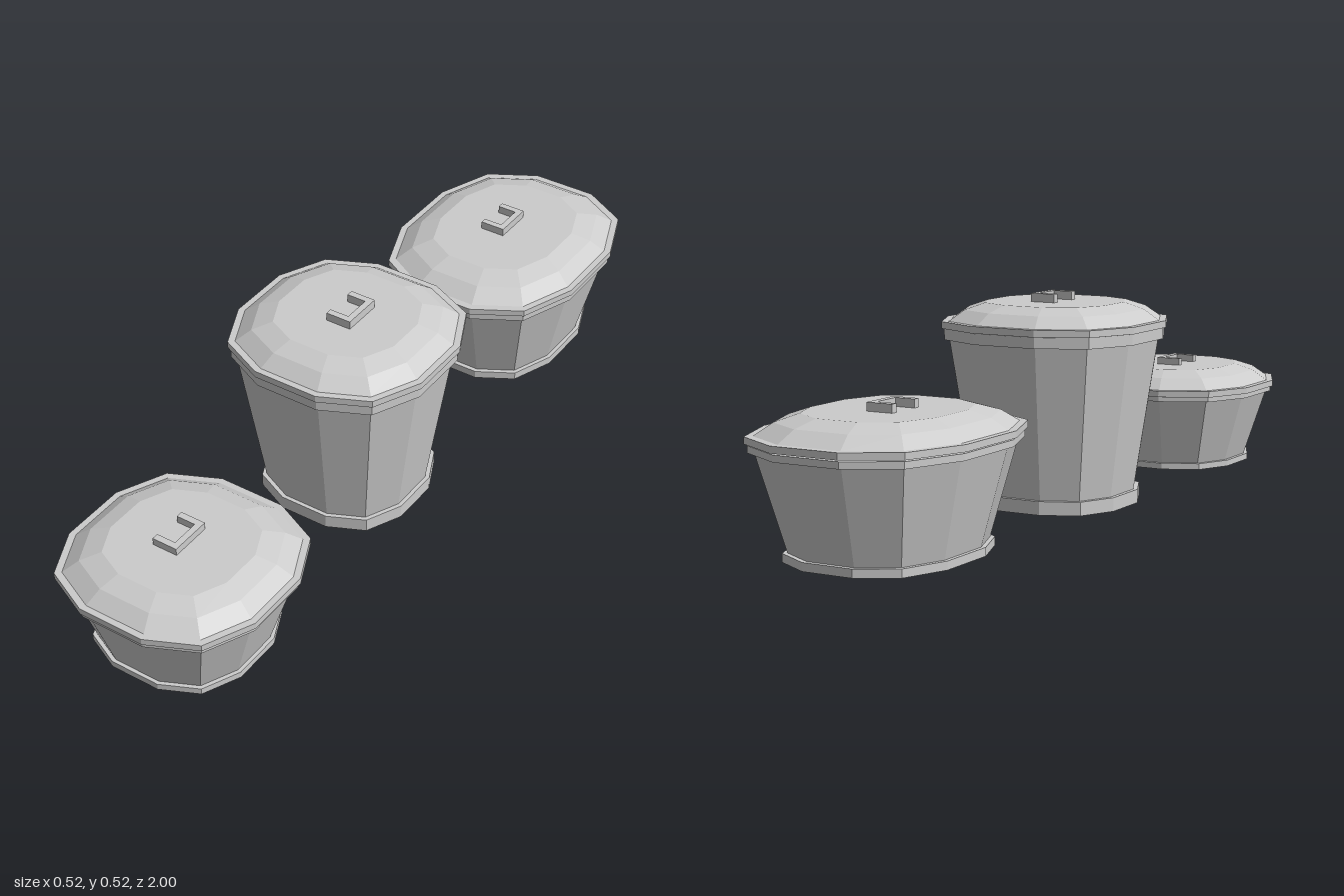
import * as THREE from 'three';

const grey = new THREE.MeshStandardMaterial({ color: 0xcccccc, flatShading: true });

// Twelve-sided rounded-square outline with unit half-width: three corners turned four times
const outline = [];
let corners = [[0.325, 1], [0.785, 0.785], [1, 0.325]];
for (let q = 0; q < 4; q++) {
  outline.push(...corners);
  corners = corners.map(([x, z]) => [z, -x]);
}

// Skin a profile of [halfWidth, y] pairs around the outline, stretched along z
function loft(profile, stretch) {
  const positions = [];
  const at = ([r, y], j) => {
    const [x, z] = outline[j % 12];
    return [x * r, y, z * r * stretch];
  };
  for (let i = 0; i < profile.length - 1; i++) {
    const low = profile[i], high = profile[i + 1];
    for (let j = 0; j < 12; j++) {
      const a = at(low, j), b = at(low, j + 1), c = at(high, j + 1), d = at(high, j);
      if (low[0] > 0) positions.push(...a, ...b, ...c);
      else positions.push(...a, ...c, ...d);
      if (low[0] > 0 && high[0] > 0) positions.push(...a, ...c, ...d);
    }
  }
  const geometry = new THREE.BufferGeometry();
  geometry.setAttribute('position', new THREE.Float32BufferAttribute(positions, 3));
  geometry.computeVertexNormals();
  return geometry;
}

// U-shaped grip lying flat, open towards -x
function gripGeometry(height) {
  const shape = new THREE.Shape([
    [-0.033, -0.053], [0.033, -0.053], [0.033, 0.053], [-0.033, 0.053],
    [-0.033, 0.036], [0.017, 0.036], [0.017, -0.036], [-0.033, -0.036],
  ].map(([x, y]) => new THREE.Vector2(x, y)));
  return new THREE.ExtrudeGeometry(shape, { depth: height, bevelEnabled: false }).rotateX(-Math.PI / 2);
}

function createPot(p) {
  const pot = new THREE.Group();
  pot.name = p.name;
  const add = (name, geometry) => {
    const mesh = new THREE.Mesh(geometry, grey);
    mesh.name = name;
    pot.add(mesh);
    return mesh;
  };

  // Foot band, flaring wall and rim band
  add('foot', loft([[0, p.bottom], [0.198, p.bottom], [0.198, p.footTop], [0.18, p.footTop]], p.stretch));
  add('body', loft([[0.187, p.footTop - 0.005], [0.244, p.rim]], p.stretch));
  add('rim', loft([[0.235, p.rim], [0.256, p.rim], [0.256, p.lid - p.gap], [0.24, p.lid - p.gap], [0, p.lid - p.gap]], p.stretch));

  // Lid with an overhanging edge and a faceted dome
  add('lid', loft([
    [0, p.lid], [0.262, p.lid], [0.262, p.dome], [0.246, p.dome],
    [0.21, p.dome + (p.top - p.dome) * 0.62], [0.163, p.top], [0, p.top],
  ], p.stretch));

  add('lidGrip', gripGeometry(p.gripTop - p.top + 0.002))
    .position.set(p.gripX, p.top - 0.002, p.gripZ);

  pot.position.z = p.z;
  return pot;
}

export function createModel() {
  const group = new THREE.Group();
  group.name = 'lidded pots';
  const pots = [
    { name: 'lowPot', z: 0.738, stretch: 1, bottom: 0.01, footTop: 0.026, rim: 0.202, lid: 0.215, gap: 0.001,
      dome: 0.231, top: 0.275, gripTop: 0.293, gripX: -0.015, gripZ: -0.008 },
    { name: 'tallPot', z: 0.072, stretch: 1, bottom: 0, footTop: 0.034, rim: 0.413, lid: 0.441, gap: 0.001,
      dome: 0.458, top: 0.502, gripTop: 0.523, gripX: 0.008, gripZ: 0 },
    { name: 'longPot', z: -0.678, stretch: 1.23, bottom: 0.005, footTop: 0.025, rim: 0.25, lid: 0.27, gap: 0.004,
      dome: 0.286, top: 0.33, gripTop: 0.35, gripX: -0.015, gripZ: -0.008 },
  ];
  for (const p of pots) group.add(createPot(p));
  return group;
}
